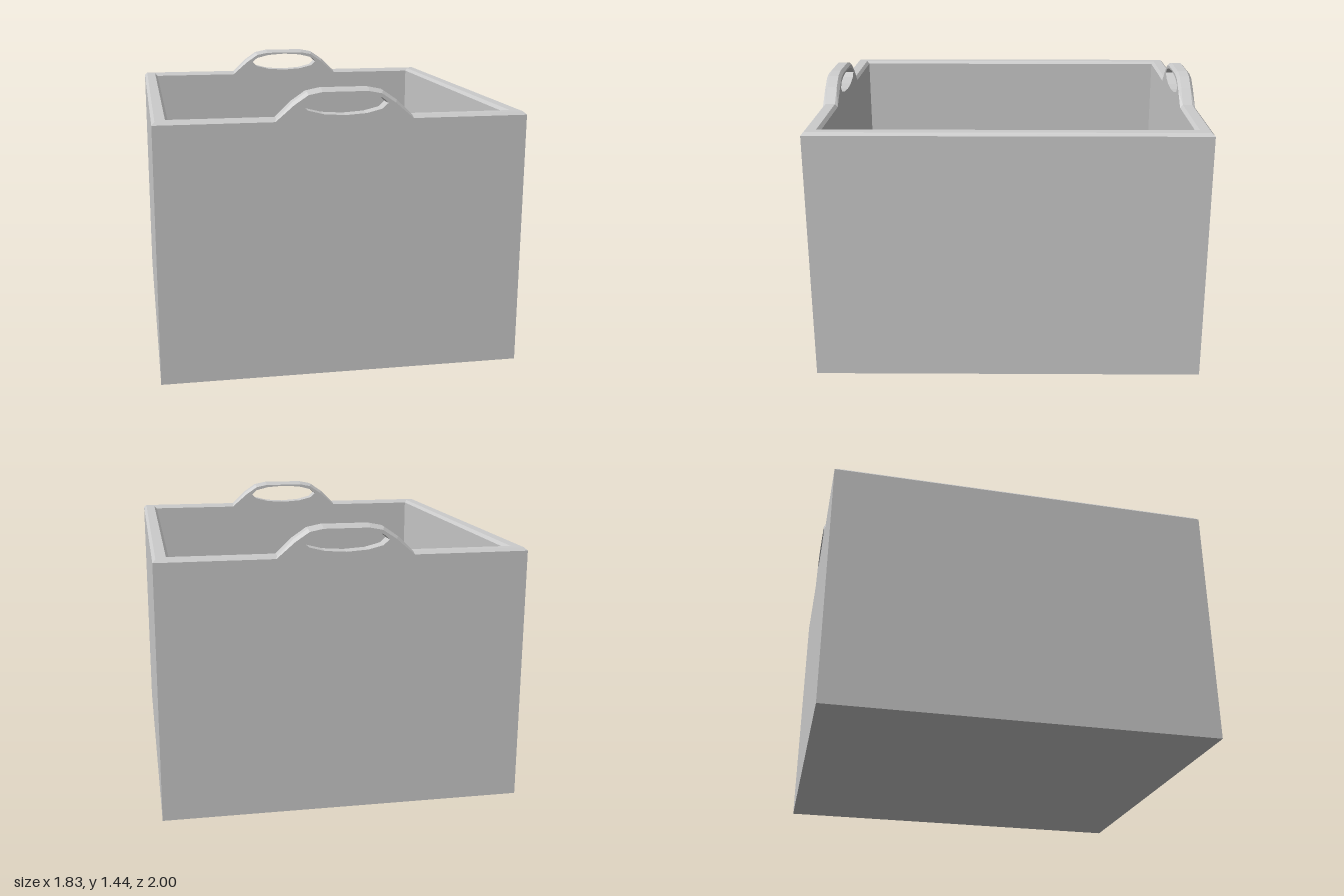
import * as THREE from 'three';

const W = 0.915, D = 1, T = 0.08, C = 0.015, FLOOR = 0.08, RIM = 1.305;

// Right half of the handle outline: top edge and the lower edge of its chamfer
const TOP = [[0.333, 1.305], [0.255, 1.38], [0.185, 1.428], [0.115, 1.442]];
const LOW = [[0.338, 1.29], [0.247, 1.368], [0.178, 1.414], [0.112, 1.427]];
const mirrored = (pts) => [...pts.map(([x, y]) => [-x, y]), ...pts.slice().reverse()];

// Grip hole, a twelve-sided oval
const HOLE = Array.from({ length: 12 }, (_, i) => {
  const a = (i / 12) * Math.PI * 2;
  return [0.21 * Math.cos(a), 1.367 + 0.053 * Math.sin(a)];
});

const material = new THREE.MeshStandardMaterial({ color: 0xcccccc, flatShading: true });

function mesh(name, geometry) {
  const m = new THREE.Mesh(geometry, material);
  m.name = name;
  return m;
}

// Closed strips of quads between successive rings of points
function loft(rings) {
  const pos = [];
  for (let k = 0; k < rings.length - 1; k++) {
    const a = rings[k], b = rings[k + 1], n = a.length;
    for (let i = 0; i < n; i++) {
      const j = (i + 1) % n;
      pos.push(...a[i], ...a[j], ...b[j], ...a[i], ...b[j], ...b[i]);
    }
  }
  const g = new THREE.BufferGeometry();
  g.setAttribute('position', new THREE.Float32BufferAttribute(pos, 3));
  g.computeVertexNormals();
  return g;
}

// Flat wall face with the raised handle and its hole
function wallFace(halfWidth, bottom) {
  const outline = [[-halfWidth, bottom], [halfWidth, bottom], [halfWidth, RIM - C],
    ...mirrored(LOW).reverse(), [-halfWidth, RIM - C]];
  const toVec = ([x, y]) => new THREE.Vector2(x, y);
  const shape = new THREE.Shape(outline.map(toVec));
  shape.holes.push(new THREE.Path(HOLE.map(toVec)));
  return new THREE.ShapeGeometry(shape);
}

// One rim loop, inset from the outside of the box
function rimLoop(inset, chamferFoot) {
  const w = W - inset, d = D - inset, y = chamferFoot ? RIM - C : RIM;
  const half = [[-w, y], ...mirrored(chamferFoot ? LOW : TOP), [w, y]];
  return [...half.map(([x, h]) => [x, h, d]), ...half.map(([x, h]) => [-x, h, -d])];
}

// One handled wall and one plain side wall
function halfBox(prefix, side) {
  const g = new THREE.Group();
  g.name = prefix + 'Half';

  const outer = mesh(prefix + 'WallOutside', wallFace(W, 0));
  outer.position.z = D;
  const inner = mesh(prefix + 'WallInside', wallFace(W - T, FLOOR));
  inner.rotation.y = Math.PI;
  inner.position.z = D - T;
  const grip = mesh(prefix + 'GripHole', loft([
    HOLE.map(([x, y]) => [x, y, D - T]),
    HOLE.map(([x, y]) => [x, y, D]),
  ].reverse()));

  const h = RIM - C;
  const sideOut = mesh(side + 'SideOutside', new THREE.PlaneGeometry(2 * D, h));
  sideOut.rotation.y = Math.PI / 2;
  sideOut.position.set(W, h / 2, 0);
  const sideIn = mesh(side + 'SideInside', new THREE.PlaneGeometry(2 * (D - T), h - FLOOR));
  sideIn.rotation.y = -Math.PI / 2;
  sideIn.position.set(W - T, (h + FLOOR) / 2, 0);

  g.add(outer, inner, grip, sideOut, sideIn);
  return g;
}

export function createModel() {
  const model = new THREE.Group();
  model.name = 'storageBox';

  const front = halfBox('front', 'left');
  const back = halfBox('back', 'right');
  back.rotation.y = Math.PI;

  // Chamfered rim running over both handles
  const rim = mesh('rim', loft([
    rimLoop(0, true), rimLoop(C, false), rimLoop(T - C, false), rimLoop(T, true),
  ]));

  // Floor, seen from inside and underneath
  const floor = mesh('floor', new THREE.PlaneGeometry(2 * (W - T), 2 * (D - T)));
  floor.rotation.x = -Math.PI / 2;
  floor.position.y = FLOOR;
  const underside = mesh('underside', new THREE.PlaneGeometry(2 * W, 2 * D));
  underside.rotation.x = Math.PI / 2;

  model.add(front, back, rim, floor, underside);
  return model;
}
